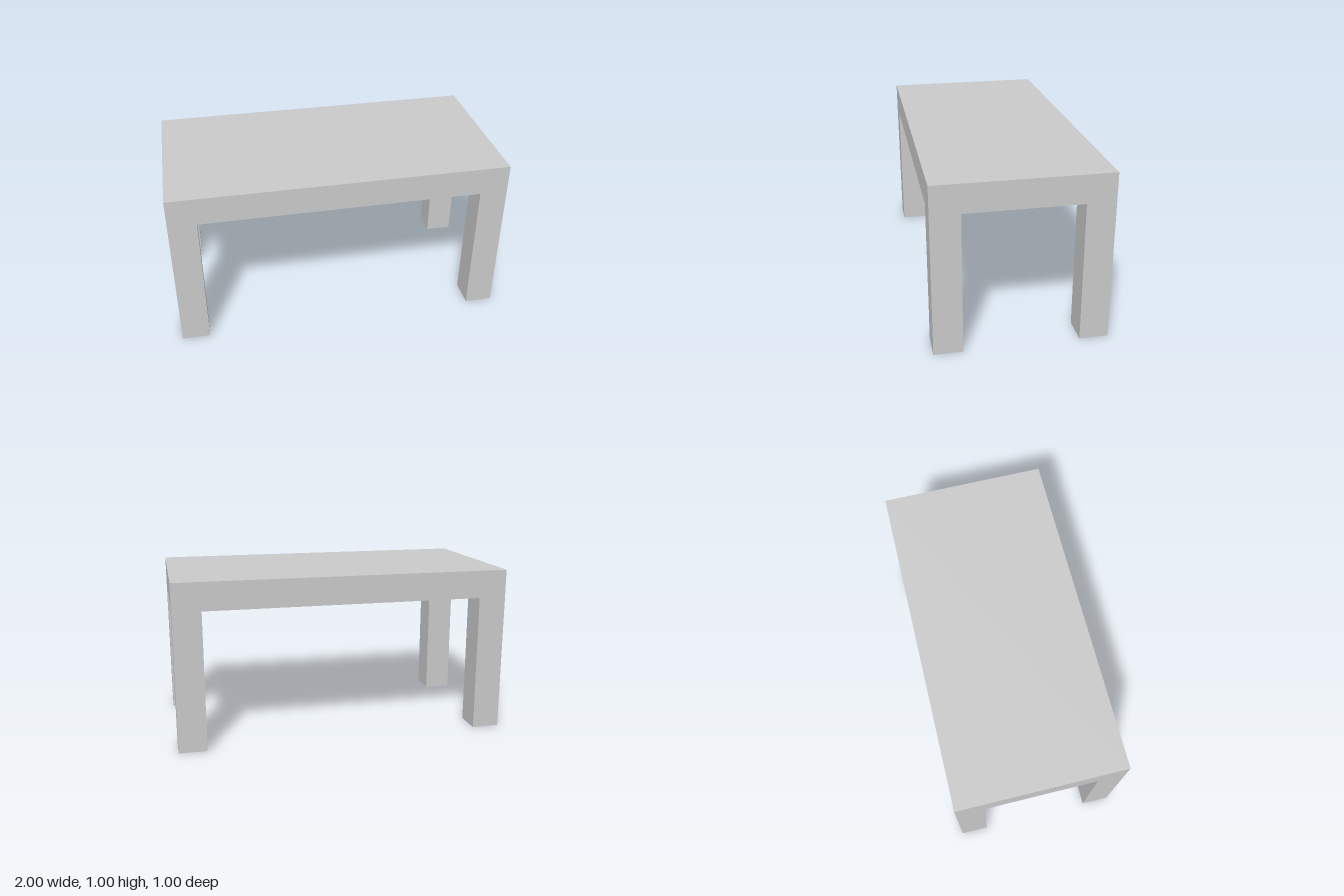
import * as THREE from 'three';

const LENGTH = 2, HEIGHT = 1, DEPTH = 1;
const T = 1 / 6; // slab thickness and leg width

export function createModel() {
  const table = new THREE.Group();
  table.name = 'table';
  const material = new THREE.MeshStandardMaterial({ color: 0xcccccc, flatShading: true });

  // Thick rectangular top
  const top = new THREE.Mesh(new THREE.BoxGeometry(LENGTH, T, DEPTH), material);
  top.name = 'tableTop';
  top.position.y = HEIGHT - T / 2;
  table.add(top);

  // Four square legs, flush with the corners of the top
  const legHeight = HEIGHT - T;
  const legGeometry = new THREE.BoxGeometry(T, legHeight, T);
  for (const [zName, sz] of [['front', 1], ['back', -1]]) {
    for (const [xName, sx] of [['Left', 1], ['Right', -1]]) {
      const leg = new THREE.Mesh(legGeometry, material);
      leg.name = `${zName}${xName}Leg`;
      leg.position.set(sx * (LENGTH - T) / 2, legHeight / 2, sz * (DEPTH - T) / 2);
      table.add(leg);
    }
  }
  return table;
}
